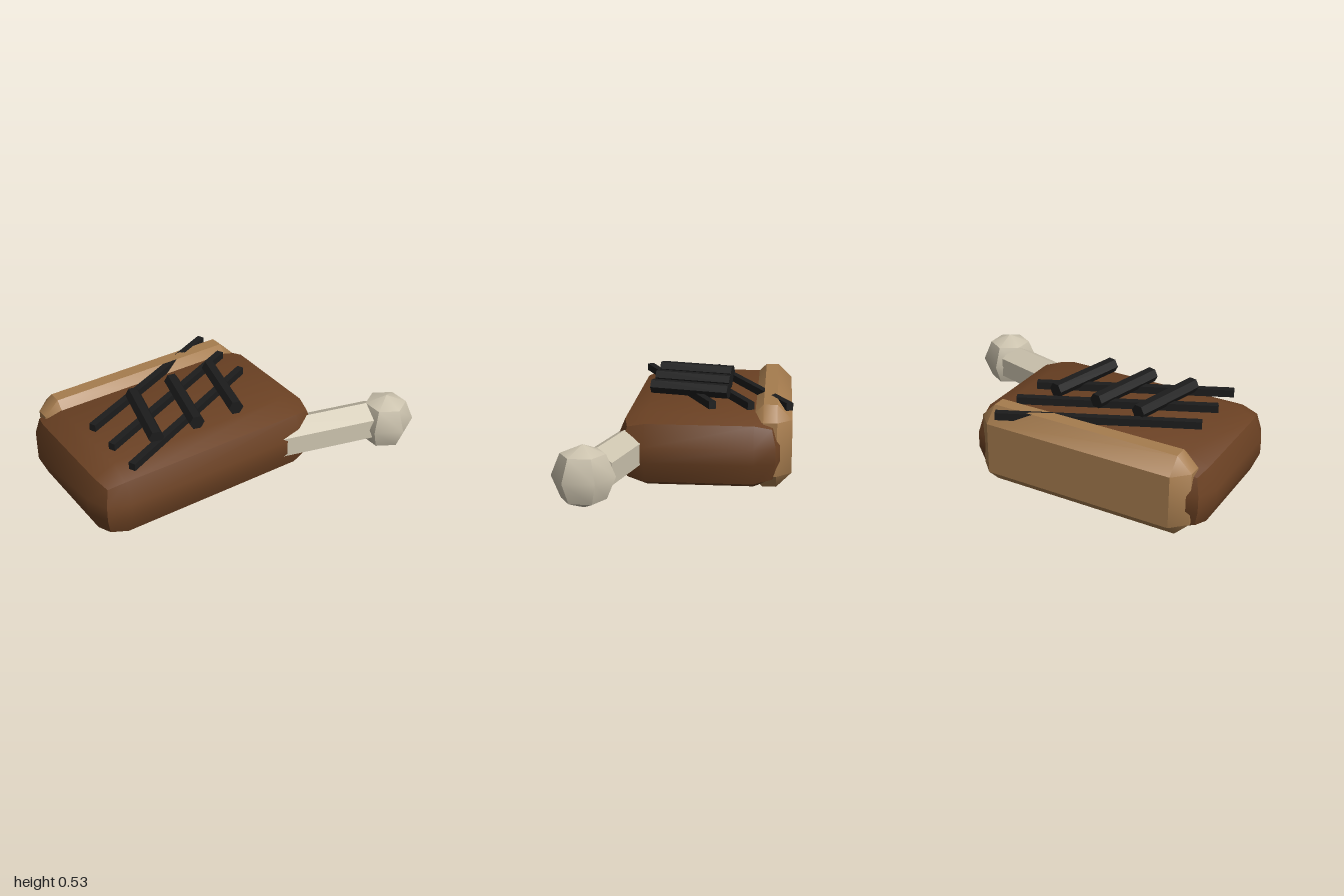
import * as THREE from 'three';
import { toCreasedNormals } from 'three/addons/utils/BufferGeometryUtils.js';
import { RoundedBoxGeometry } from 'three/addons/geometries/RoundedBoxGeometry.js';
import { ConvexGeometry } from 'three/addons/geometries/ConvexGeometry.js';

const CREASE = 0.73;

function material(name, color) {
  const m = new THREE.MeshStandardMaterial({ color });
  m.name = name;
  return m;
}

// Box with every edge cut at 45 degrees
function chamferBox(w, h, d, c) {
  const points = [];
  for (const sx of [-1, 1]) for (const sy of [-1, 1]) for (const sz of [-1, 1]) {
    for (let axis = 0; axis < 3; axis++) {
      const cut = [0, 1, 2].map((i) => (i === axis ? 0 : c));
      points.push(new THREE.Vector3(
        sx * (w / 2 - cut[0]), sy * (h / 2 - cut[1]), sz * (d / 2 - cut[2])));
    }
  }
  return new ConvexGeometry(points);
}

export function createModel() {
  const group = new THREE.Group();
  group.name = 'steak';
  const meat = material('seared meat brown', 0x6b4123);
  const fat = material('fat tan', 0xa67c4e);
  const bone = material('bone cream', 0xcdc4af);
  const char = material('char black', 0x1c1c1c);

  function add(name, geometry, mat, x, y, z, yaw = 0) {
    const mesh = new THREE.Mesh(toCreasedNormals(geometry, CREASE), mat);
    mesh.name = name;
    mesh.position.set(x, y, z);
    mesh.rotation.y = yaw;
    group.add(mesh);
  }

  // Meat slab and the fat strip along its back
  add('meat', new RoundedBoxGeometry(1.46, 0.43, 0.94, 1, 0.17), meat, -0.27, 0.215, -0.11);
  add('fatStrip', chamferBox(1.28, 0.473, 0.245, 0.084), fat, -0.27, 0.2365, -0.4975);

  // Six-sided bone with a knob at its end
  const shaft = new THREE.CylinderGeometry(0.12, 0.12, 0.7, 6)
    .rotateY(Math.PI / 6).rotateZ(-Math.PI / 2);
  add('boneShaft', shaft, bone, 0.45, 0.217, 0.318, -0.255);
  const knob = new THREE.SphereGeometry(0.17, 6, 4).rotateY(Math.PI / 6);
  add('boneKnob', knob, bone, 0.85, 0.215, 0.45);

  // Long flat grill marks
  [0.06, -0.155, -0.37].forEach((z, i) => {
    add(`longGrillMark${i + 1}`, new THREE.BoxGeometry(1.12, 0.043, 0.04), char,
      -0.27, 0.4515, z, 0.43);
  });

  // Short six-sided grill marks lying across them
  [-0.51, -0.25, 0.01].forEach((x, i) => {
    const bar = new THREE.CylinderGeometry(0.0435, 0.0435, 0.465, 6)
      .rotateY(Math.PI / 6).rotateX(Math.PI / 2);
    add(`shortGrillMark${i + 1}`, bar, char, x, 0.492, -0.03, -0.25);
  });

  return group;
}
